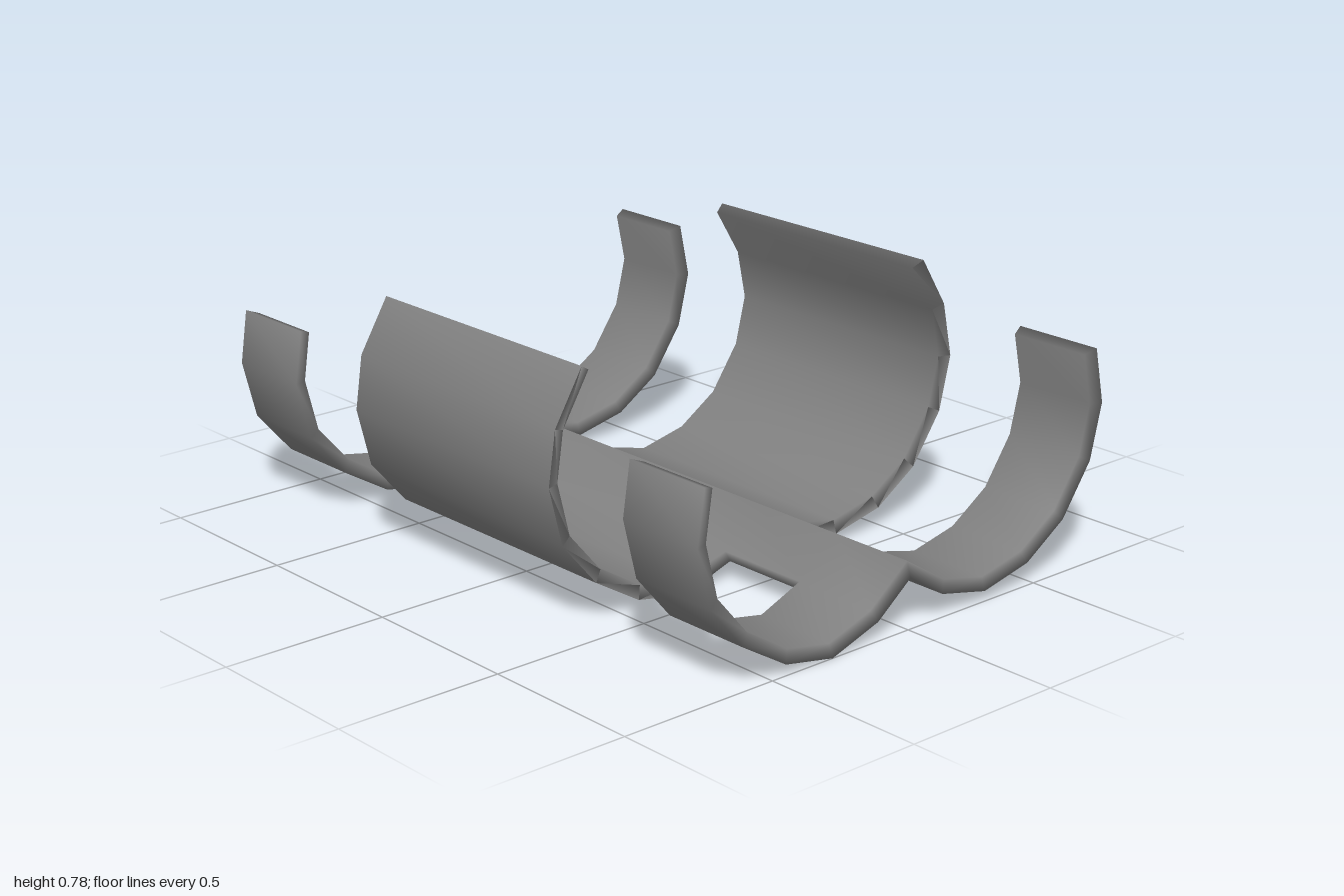
import * as THREE from 'three';
import { mergeVertices } from 'three/addons/utils/BufferGeometryUtils.js';

// Centre line of the bent sheet in the xy plane, from the -x lip to the +x lip
const PATH = [
  [-0.63, 0.73], [-0.72, 0.58], [-0.742, 0.43], [-0.70, 0.265], [-0.59, 0.137],
  [-0.445, 0.05], [-0.284, 0.02], [-0.125, 0.073], [0.002, 0.172], [0.138, 0.086],
  [0.30, 0.05], [0.463, 0.086], [0.60, 0.175], [0.70, 0.318], [0.738, 0.473],
  [0.705, 0.63], [0.615, 0.775],
].map(([x, y]) => new THREE.Vector2(x, y));
const THICKNESS = 0.038;
const INSET = 0.012; // the inner face stops slightly short of the rims
const LAST = PATH.length - 1;
const RIDGE = 8;

// Strips from back to front; from/to are the path points each one spans
const END_BAND = { from: 1, to: LAST - 1 };
const SPINE = { from: RIDGE - 1, to: RIDGE + 1 };
const MIDDLE = { from: 0, to: LAST };
const STRIPS = [
  { z0: -1, z1: -0.72, ...END_BAND },
  { z0: -0.72, z1: -0.425, ...SPINE },
  { z0: -0.425, z1: 0.425, ...MIDDLE },
  { z0: 0.425, z1: 0.72, ...SPINE },
  { z0: 0.72, z1: 1, ...END_BAND },
];

// Mitred offset of the centre line to one side of the sheet
function offsetPath(distance) {
  const normal = (a, b) => {
    const d = b.clone().sub(a).normalize();
    return new THREE.Vector2(-d.y, d.x);
  };
  return PATH.map((p, i) => {
    const before = normal(PATH[Math.max(i - 1, 0)], PATH[Math.max(i, 1)]);
    const after = normal(PATH[Math.min(i, LAST - 1)], PATH[Math.min(i + 1, LAST)]);
    const miter = before.clone().add(after).normalize();
    return p.clone().addScaledVector(miter, distance / miter.dot(after));
  });
}

// Adds one strip, with rims only where no neighbouring strip continues it
function addStrip(positions, inner, outer, strip, behind, ahead) {
  const { z0, z1, from, to } = strip;
  const quad = (...corners) => {
    for (const k of [0, 1, 2, 0, 2, 3]) positions.push(...corners[k]);
  };
  const hasPoint = (s, i) => s !== undefined && i >= s.from && i <= s.to;
  const hasCell = (s, i) => hasPoint(s, i) && hasPoint(s, i + 1);

  // The four corners of the sheet's section at path point i
  const section = (i) => ({
    innerBack: [inner[i].x, inner[i].y, z0 + (hasPoint(behind, i) ? 0 : INSET)],
    innerFront: [inner[i].x, inner[i].y, z1 - (hasPoint(ahead, i) ? 0 : INSET)],
    outerBack: [outer[i].x, outer[i].y, z0],
    outerFront: [outer[i].x, outer[i].y, z1],
  });

  for (let i = from; i < to; i++) {
    const a = section(i), b = section(i + 1);
    quad(a.innerFront, b.innerFront, b.innerBack, a.innerBack);
    quad(a.outerBack, b.outerBack, b.outerFront, a.outerFront);
    if (!hasCell(ahead, i)) quad(a.outerFront, b.outerFront, b.innerFront, a.innerFront);
    if (!hasCell(behind, i)) quad(a.innerBack, b.innerBack, b.outerBack, a.outerBack);
  }
  // Lips at both ends of the strip
  const s = section(from), e = section(to);
  quad(s.outerBack, s.outerFront, s.innerFront, s.innerBack);
  quad(e.outerFront, e.outerBack, e.innerBack, e.innerFront);
}

export function createModel() {
  const group = new THREE.Group();
  group.name = 'doubleCradle';
  const inner = offsetPath(THICKNESS / 2);
  const outer = offsetPath(-THICKNESS / 2);

  const positions = [];
  STRIPS.forEach((strip, i) => {
    addStrip(positions, inner, outer, strip, STRIPS[i - 1], STRIPS[i + 1]);
  });

  // One welded sheet, shaded smoothly all over
  const soup = new THREE.BufferGeometry();
  soup.setAttribute('position', new THREE.Float32BufferAttribute(positions, 3));
  const geometry = mergeVertices(soup);
  geometry.computeVertexNormals();

  const sheet = new THREE.Mesh(geometry, new THREE.MeshStandardMaterial({ color: 0x808080 }));
  sheet.name = 'cradleSheet';
  group.add(sheet);
  return group;
}
